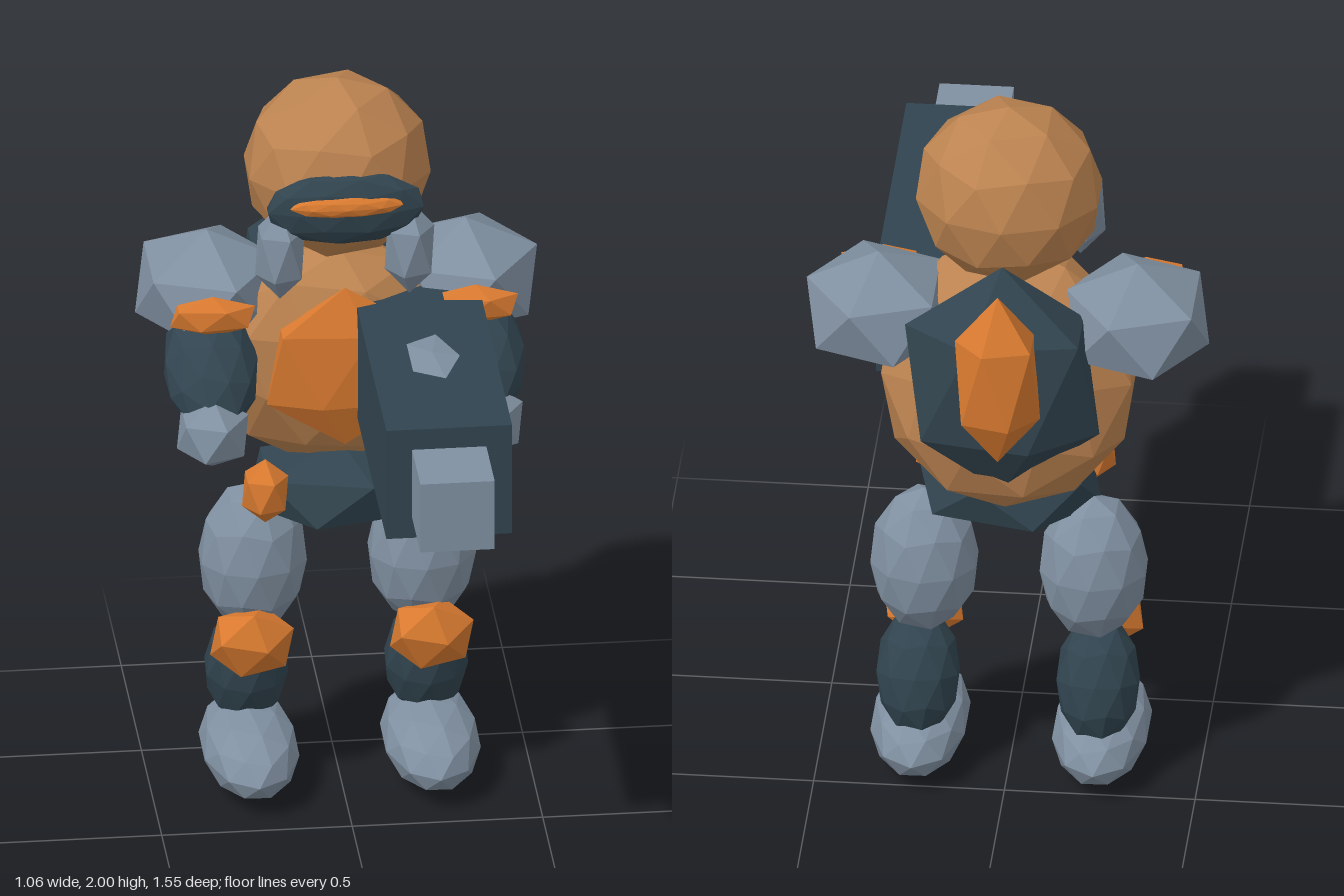
import * as THREE from 'three';

// Faceted ball with its pole on +y; detail 0 has 20 faces, detail 1 has 80
function facetBall(detail) {
  const g = new THREE.IcosahedronGeometry(1, detail);
  g.rotateZ(-Math.atan(2 / (1 + Math.sqrt(5))));
  g.computeVertexNormals();
  return g;
}

export function createModel() {
  const paint = (name, color) => {
    const m = new THREE.MeshStandardMaterial({ color });
    m.name = name;
    return m;
  };
  const tan = paint('tan', 0xbc8350);
  const orange = paint('orange', 0xd97a30);
  const slate = paint('dark slate', 0x31444f);
  const grey = paint('steel grey', 0x8090a1);

  const coarse = facetBall(0);
  const fine = facetBall(1);
  const model = new THREE.Group();
  model.name = 'armouredFigure';

  const add = (name, geometry, material, pos, size, tilt = 0) => {
    const mesh = new THREE.Mesh(geometry, material);
    mesh.name = name;
    mesh.position.set(...pos);
    mesh.scale.set(...size);
    mesh.rotation.x = tilt;
    model.add(mesh);
  };
  // Same part on both sides of the body
  const pair = (name, geometry, material, [x, y, z], size, tilt) => {
    add('left' + name, geometry, material, [x, y, z], size, tilt);
    add('right' + name, geometry, material, [-x, y, z], size, tilt);
  };

  // Head
  add('head', fine, tan, [0, 1.75, -0.37], [0.25, 0.25, 0.235]);
  add('visor', fine, slate, [0, 1.72, -0.17], [0.215, 0.105, 0.055]);
  add('visorSlit', fine, orange, [0, 1.74, -0.14], [0.155, 0.034, 0.035]);
  pair('CheekGuard', coarse, grey, [0.17, 1.59, -0.185], [0.073, 0.135, 0.077]);

  // Body
  add('torso', fine, tan, [0, 1.2, -0.385], [0.345, 0.36, 0.22], 0.3);
  add('chestPlate', coarse, orange, [0, 1.255, -0.175], [0.23, 0.228, 0.06]);
  add('backPack', coarse, slate, [0, 1.285, -0.56], [0.285, 0.34, 0.155]);
  add('packCell', coarse, orange, [0, 1.36, -0.69], [0.125, 0.25, 0.1]);
  add('hips', coarse, slate, [0, 0.845, -0.33], [0.27, 0.125, 0.2]);
  pair('BeltPouch', coarse, orange, [0.205, 0.88, -0.22], [0.068, 0.092, 0.07]);

  // Arms
  pair('Shoulder', coarse, grey, [0.34, 1.4, -0.4], [0.21, 0.16, 0.235]);
  pair('Arm', fine, slate, [0.35, 1.26, -0.2], [0.127, 0.2, 0.105], -1.0);
  pair('ArmBand', coarse, orange, [0.345, 1.405, -0.2], [0.125, 0.057, 0.046]);
  pair('Hand', coarse, grey, [0.36, 1.14, -0.06], [0.105, 0.1, 0.12]);

  // Legs
  pair('Thigh', fine, grey, [0.222, 0.62, -0.37], [0.145, 0.21, 0.14]);
  pair('Knee', coarse, orange, [0.236, 0.425, -0.255], [0.12, 0.115, 0.09], 0.5);
  pair('Shin', fine, slate, [0.236, 0.29, -0.395], [0.112, 0.175, 0.115], 0.28);
  pair('Foot', fine, grey, [0.238, 0.1, -0.31], [0.13, 0.1, 0.27]);

  // Heavy cannon
  const box = new THREE.BoxGeometry(1, 1, 1);
  add('cannonBody', box, slate, [0.194, 1.275, 0.15], [0.33, 0.315, 0.84]);
  add('cannonMuzzle', box, grey, [0.194, 1.275, 0.665], [0.195, 0.198, 0.22]);
  add('cannonTopPanel', fine, grey, [0.194, 1.345, 0.15], [0.165, 0.1, 0.31]);

  return model;
}
